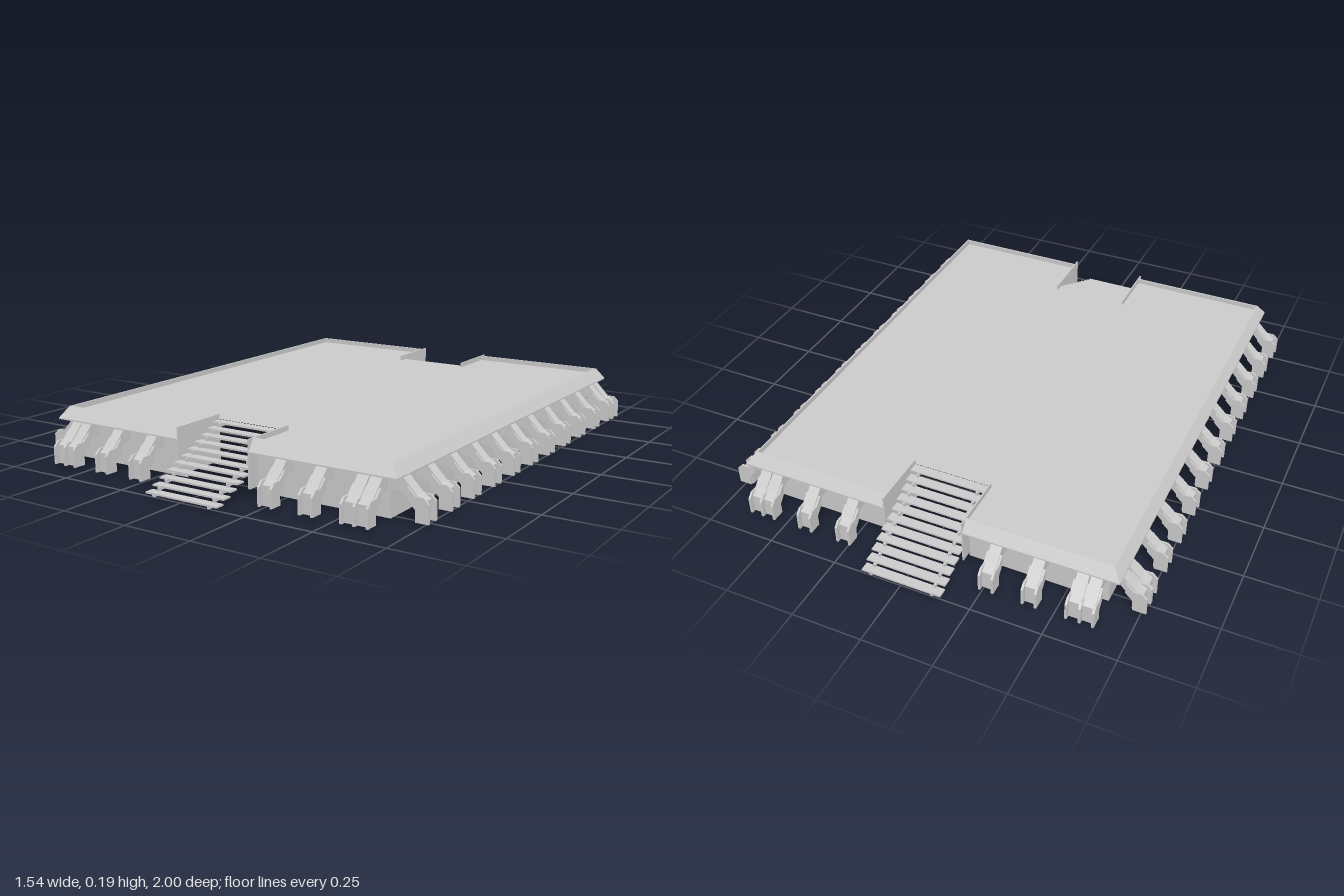
import * as THREE from 'three';

const W = 0.64, D = 0.79;           // wall half-width and half-depth
const NOTCH = 0.145, NOTCH_Z = 0.62; // stair opening
const DECK_Y = 0.172;

const mat = new THREE.MeshStandardMaterial({ color: 0xcccccc, flatShading: true, side: THREE.DoubleSide });

function add(parent, name, geometry, x = 0, y = 0, z = 0) {
  const mesh = new THREE.Mesh(geometry, mat);
  mesh.name = name;
  mesh.position.set(x, y, z);
  parent.add(mesh);
  return mesh;
}

// Sweep an [offset, y] profile round one half of the platform with mitred corners
function sweepHalf(profile, side) {
  const pos = [], idx = [];
  for (const [o, y] of profile) {
    for (const [x, z] of [[NOTCH, D + o], [W + o, D + o], [W + o, -D - o], [NOTCH, -D - o]]) {
      pos.push(side * x, y, z);
    }
  }
  for (let p = 0; p < profile.length - 1; p++) {
    for (let i = 0; i < 3; i++) {
      const a = p * 4 + i, b = a + 1, c = a + 4, d = c + 1;
      if (side > 0) idx.push(a, b, d, a, d, c);
      else idx.push(a, d, b, a, c, d);
    }
  }
  const g = new THREE.BufferGeometry();
  g.setAttribute('position', new THREE.Float32BufferAttribute(pos, 3));
  g.setIndex(idx);
  const flat = g.toNonIndexed();
  flat.computeVertexNormals();
  return flat;
}

function slab(points, width) {
  const shape = new THREE.Shape(points.map(([x, y]) => new THREE.Vector2(x, y)));
  const g = new THREE.ExtrudeGeometry(shape, { depth: width, bevelEnabled: false });
  return g.translate(0, 0, -width / 2);
}

// Buttress: sloping arm with a recessed foot between two side plates
const armGeo = slab([[0, 0.097], [0.033, 0.097], [0.078, 0.05], [0.078, 0.008], [0.112, 0.008],
  [0.112, 0.075], [0.085, 0.09], [0.034, 0.143], [0, 0.143]], 0.04);
const plateGeo = slab([[0.082, 0.008], [0.128, 0.008], [0.128, 0.07], [0.11, 0.088],
  [0.082, 0.088], [0.055, 0.115], [0.055, 0.074], [0.082, 0.047]], 0.008);

function buttress(parent, x, z, turn) {
  const g = new THREE.Group();
  g.name = 'buttress';
  add(g, 'buttressArm', armGeo);
  for (const s of [-1, 1]) add(g, 'buttressPlate', plateGeo, 0, 0, s * 0.023);
  g.position.set(x, 0, z);
  g.rotation.y = turn;
  parent.add(g);
}

// Open stair with thin treads on two stepped stringers, rising toward -z
function stairs() {
  const g = new THREE.Group();
  g.name = 'stairs';
  const n = 11, run = (1 - NOTCH_Z) / n, rise = 0.0158;
  for (let i = 0; i < n; i++) {
    const z = 1 - run * (i + 0.5), y = 0.010 + i * rise;
    add(g, 'tread', new THREE.BoxGeometry(NOTCH * 2, 0.006, run), 0, y, z);
    for (const s of [-1, 1]) {
      add(g, 'stringerStep', new THREE.BoxGeometry(0.009, 0.008, run), s * 0.112, y - 0.006, z);
      if (i < n - 1) {
        add(g, 'stringerRiser', new THREE.BoxGeometry(0.009, rise, 0.009), s * 0.112, y + rise / 2, z - run / 2 + 0.004);
      }
    }
  }
  return g;
}

export function createModel() {
  const model = new THREE.Group();
  model.name = 'raisedPlatform';

  // Deck with a stair opening at each end
  const dx = W + 0.016, dz = D + 0.016;
  const outline = [[-dx, -dz], [-NOTCH, -dz], [-NOTCH, -NOTCH_Z], [NOTCH, -NOTCH_Z], [NOTCH, -dz], [dx, -dz],
    [dx, dz], [NOTCH, dz], [NOTCH, NOTCH_Z], [-NOTCH, NOTCH_Z], [-NOTCH, dz], [-dx, dz]];
  const deck = new THREE.ShapeGeometry(new THREE.Shape(outline.map(([x, y]) => new THREE.Vector2(x, y))));
  add(model, 'deck', deck.rotateX(-Math.PI / 2), 0, DECK_Y, 0);

  // Skirting walls and sloped rim
  for (const s of [-1, 1]) {
    add(model, 'wall', sweepHalf([[0, 0.006], [0, DECK_Y]], s));
    add(model, 'rim', sweepHalf([[0, 0.145], [0.049, 0.145], [0.049, 0.15], [0.022, 0.19], [0.016, 0.19], [0.016, DECK_Y]], s));
  }

  // Cheek walls and stairs at both ends
  for (const end of [1, -1]) {
    for (const s of [-1, 1]) {
      add(model, 'stairCheek', new THREE.BoxGeometry(0.005, 0.165, 0.217),
        s * NOTCH, 0.1075, end * (NOTCH_Z + 0.1085));
    }
    const flight = stairs();
    if (end < 0) flight.rotation.y = Math.PI;
    model.add(flight);
  }

  // Buttresses along the sides and ends
  const sideZ = [-0.77, -0.718];
  for (let i = 0; i < 10; i++) sideZ.push(-0.57 + i * 0.148);
  for (const z of sideZ) {
    buttress(model, W, z, 0);
    buttress(model, -W, z, Math.PI);
  }
  for (const s of [-1, 1]) {
    for (const x of [0.266, 0.417, 0.567, 0.612]) {
      buttress(model, s * x, D, -Math.PI / 2);
      buttress(model, s * x, -D, Math.PI / 2);
    }
  }
  return model;
}
